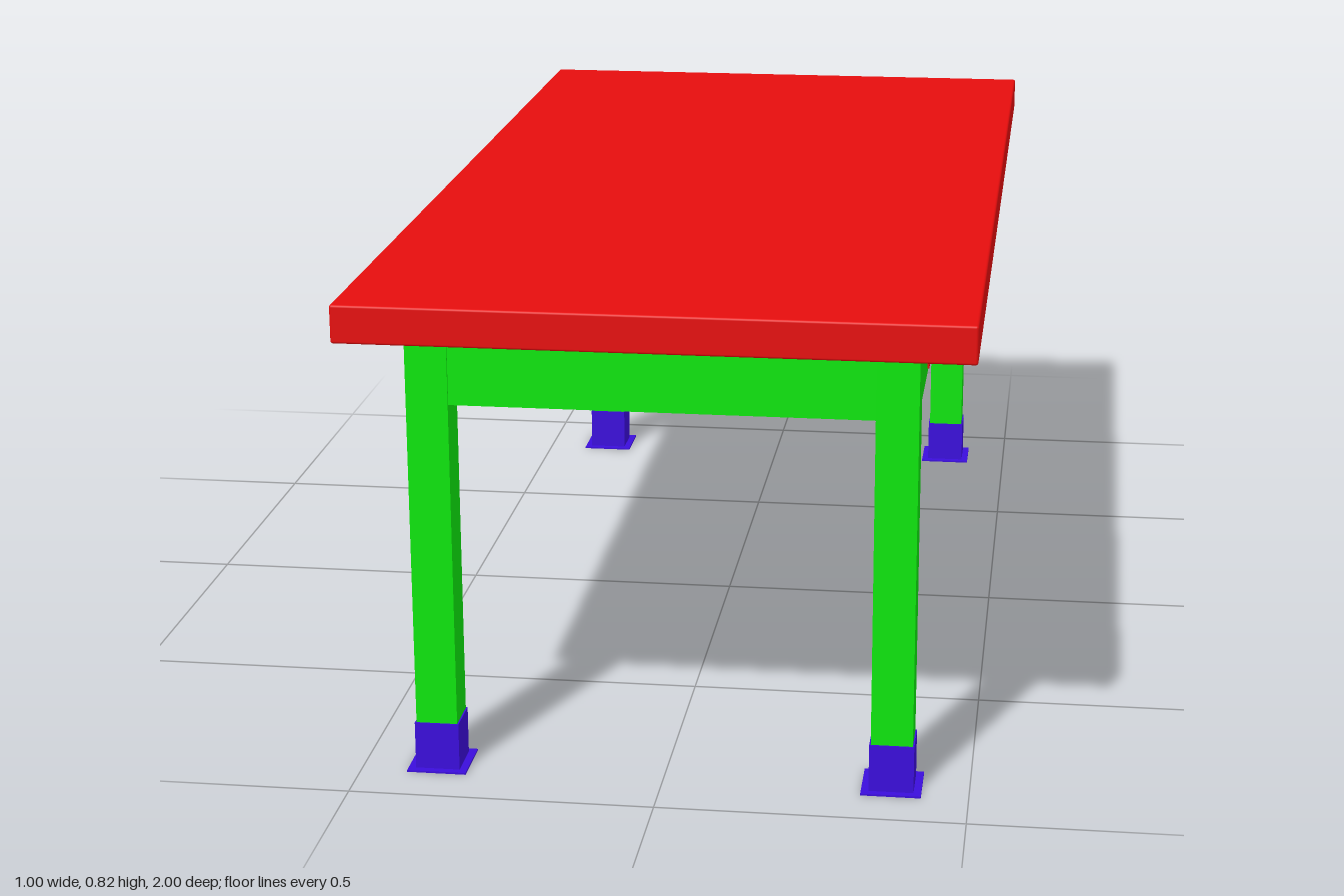
import * as THREE from 'three';
import { RoundedBoxGeometry } from 'three/addons/geometries/RoundedBoxGeometry.js';

const red = new THREE.MeshStandardMaterial({ color: 0xe60d0d });
const green = new THREE.MeshStandardMaterial({ color: 0x0de60d });
const blue = new THREE.MeshStandardMaterial({ color: 0x3b0ddb });

function add(parent, name, geometry, material, x = 0, y = 0, z = 0) {
  const mesh = new THREE.Mesh(geometry, material);
  mesh.name = name;
  mesh.position.set(x, y, z);
  parent.add(mesh);
  return mesh;
}

// Box given by its minimum and maximum corners
function box(parent, name, material, [x0, y0, z0], [x1, y1, z1]) {
  return add(parent, name, new THREE.BoxGeometry(x1 - x0, y1 - y0, z1 - z0), material,
    (x0 + x1) / 2, (y0 + y1) / 2, (z0 + z1) / 2);
}

// Corners of a rectangle in the side plane (z mirrored so it can be turned to face +x)
function rect(z0, z1, y0, y1) {
  return [[-z1, y0], [-z0, y0], [-z0, y1], [-z1, y1]].map(p => new THREE.Vector2(...p));
}

// Side panel with rectangular openings, running from x0 to x1
function sidePanel(outline, holes, x0, x1) {
  const shape = new THREE.Shape(rect(...outline));
  for (const h of holes) shape.holes.push(new THREE.Path(rect(...h).reverse()));
  const geo = new THREE.ExtrudeGeometry(shape, { depth: x1 - x0, bevelEnabled: false });
  return geo.rotateY(Math.PI / 2).translate(x0, 0, 0);
}

export function createModel() {
  const table = new THREE.Group();
  table.name = 'table';

  // Table top with slightly softened edges
  add(table, 'tableTop', new RoundedBoxGeometry(1, 0.062, 2, 2, 0.004), red, 0, 0.786, 0);

  // Aprons and closed underside
  const X = 0.405, Z = 0.896, low = 0.63, high = 0.756, t = 0.02;
  const drawers = [
    [0.08, 0.63, 0.639, 0.747],
    [-0.66, -0.075, 0.636, 0.753],
  ];
  box(table, 'undersidePanel', green, [-X + t, low, -Z + t], [X - t, low + 0.005, Z - t]);
  box(table, 'backSideApron', green, [-X, low, -Z], [-X + t, high, Z]);
  for (const s of [-1, 1]) {
    add(table, 'endApron', new THREE.BoxGeometry(2 * (X - t), high - low, t), green,
      0, (low + high) / 2, s * (Z - t / 2));
  }
  add(table, 'drawerSideApron', sidePanel([-Z, Z, low, high], drawers, X - t, X), green);

  // Open red drawer compartments set into the apron
  const w = 0.01, depth = 0.5;
  for (const [z0, z1, y0, y1] of drawers) {
    const drawer = new THREE.Group();
    drawer.name = 'drawerCompartment';
    table.add(drawer);
    const inner = [z0 + w, z1 - w, y0 + w, y1 - w];
    add(drawer, 'drawerWalls', sidePanel([z0, z1, y0, y1], [inner], X - depth, X + 0.003), red);
    box(drawer, 'drawerBack', red, [X - depth - w, y0, z0], [X - depth, y1, z1]);
  }

  // Legs with blue shoes and thin floor plates
  for (const sx of [-1, 1]) for (const sz of [-1, 1]) {
    const leg = new THREE.Group();
    leg.name = 'leg';
    leg.position.set(sx * 0.374, 0, sz * 0.866);
    table.add(leg);
    add(leg, 'legPost', new THREE.BoxGeometry(0.068, 0.676, 0.068), green, 0, 0.418, 0);
    add(leg, 'footShoe', new THREE.BoxGeometry(0.073, 0.082, 0.073), blue, 0, 0.042, 0);
    add(leg, 'footPlate', new THREE.BoxGeometry(0.098, 0.003, 0.098), blue, 0, 0.0015, 0);
  }
  return table;
}
